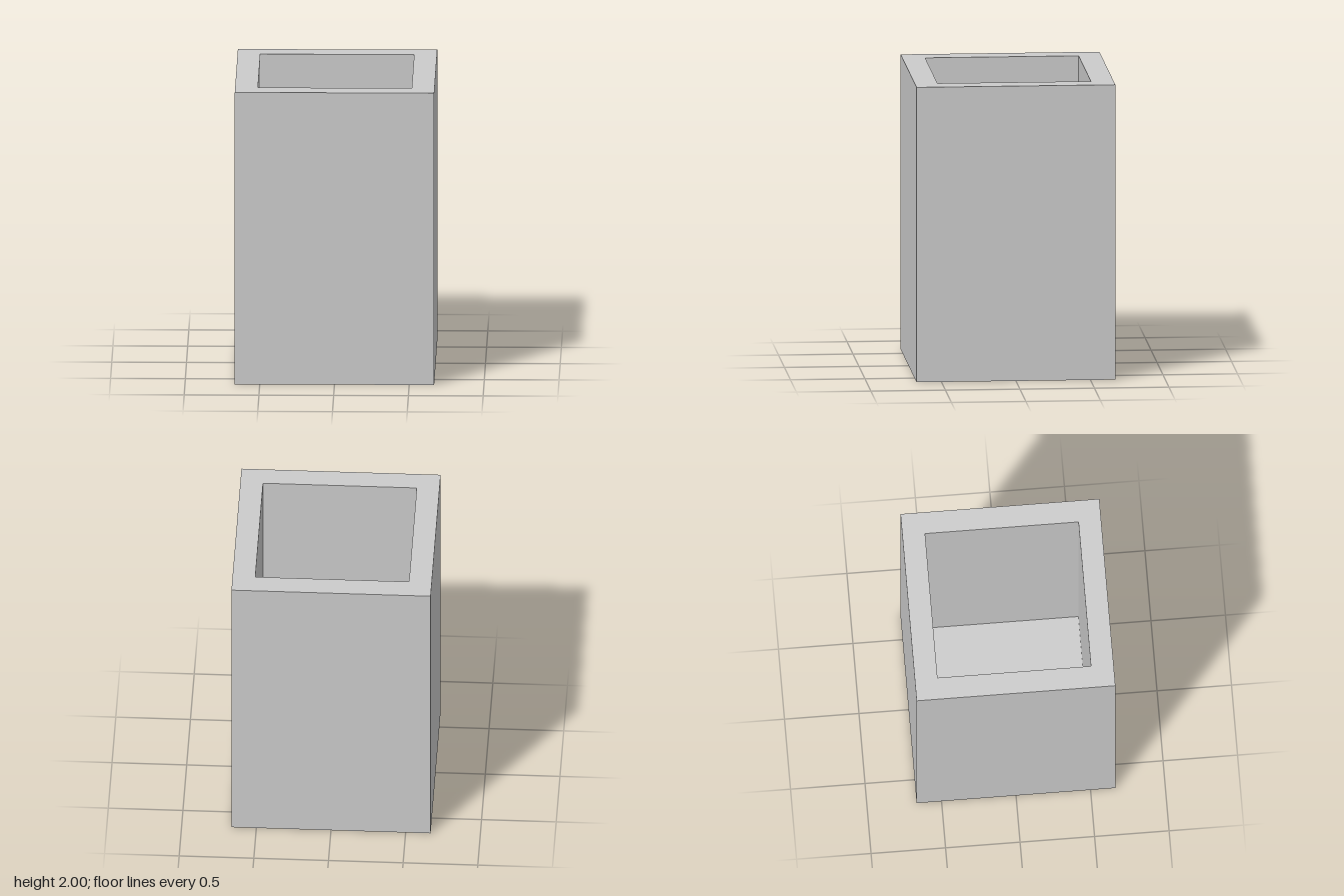
import * as THREE from 'three';

const HEIGHT = 2;
const OUTER = 0.667; // half width outside
const INNER = 0.515; // half width of the opening
const FLOOR = 0.15; // thickness of the floor

export function createModel() {
  const group = new THREE.Group();
  group.name = 'squarePot';

  // Closed cross-section: underside, outer wall, rim, inner wall, inner floor
  const profile = [
    [0, 0],
    [OUTER, 0],
    [OUTER, HEIGHT],
    [INNER, HEIGHT],
    [INNER, FLOOR],
    [0, FLOOR],
  ].map(([half, y]) => new THREE.Vector2(half * Math.SQRT2, y));

  // Four segments turned by 45 degrees give a square, hollow body
  const body = new THREE.Mesh(
    new THREE.LatheGeometry(profile, 4, Math.PI / 4),
    new THREE.MeshStandardMaterial({ color: 0xcccccc, flatShading: true })
  );
  body.name = 'potBody';
  group.add(body);

  return group;
}
